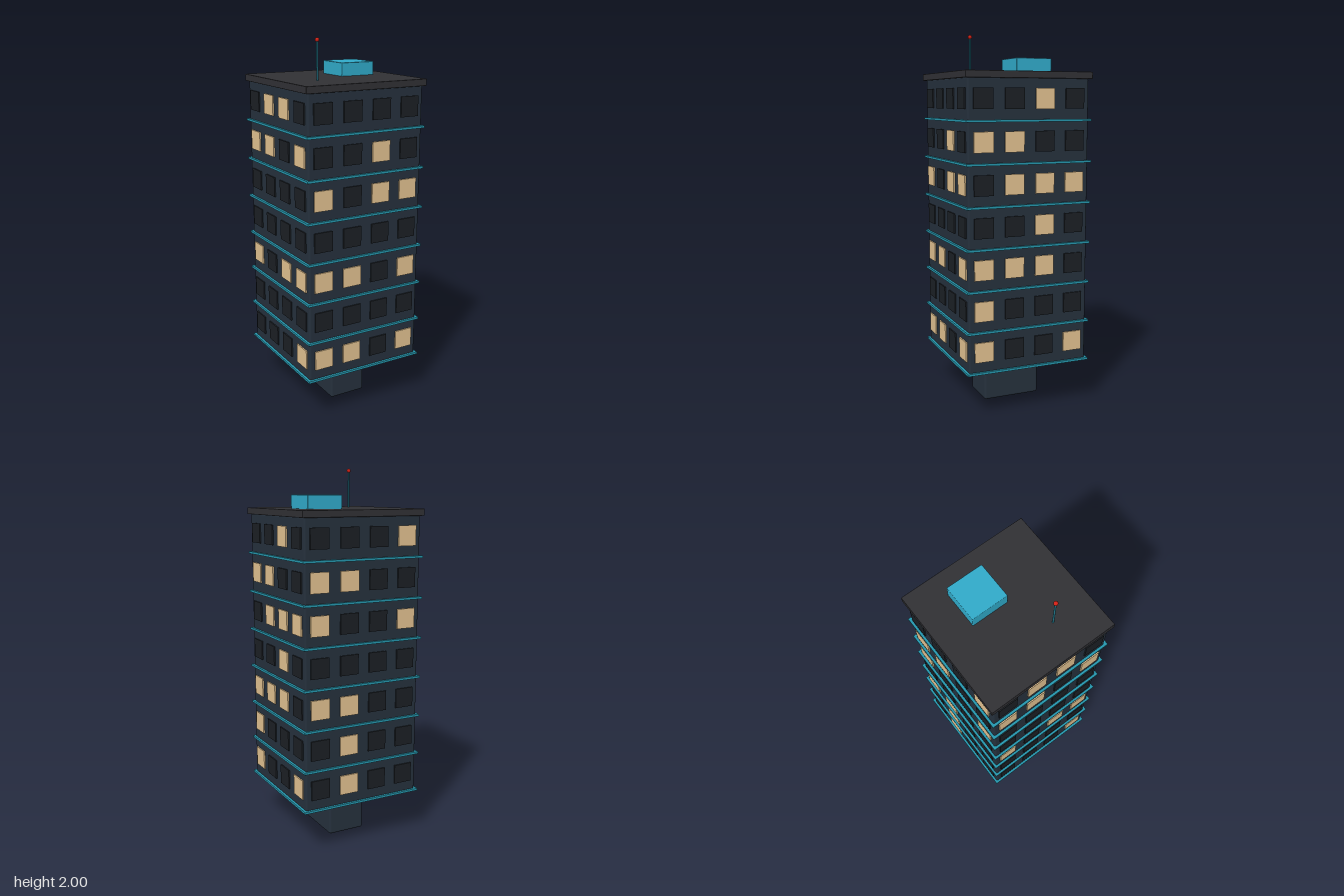
import * as THREE from 'three';
import { RoundedBoxGeometry } from 'three/addons/geometries/RoundedBoxGeometry.js';

const mat = (color) => new THREE.MeshStandardMaterial({ color });

export function createModel() {
  const model = new THREE.Group();
  model.name = 'towerBlock';

  const wall = mat(0x25303c), roofing = mat(0x303034), teal = mat(0x30a9c8);
  const dark = mat(0x1b1f24), lit = mat(0xe0c08f), red = mat(0xd02015);
  const trim = mat(0x2596ad), steel = mat(0x1f7386);

  const add = (name, geometry, material, x, y, z, parent = model) => {
    const mesh = new THREE.Mesh(geometry, material);
    mesh.name = name;
    mesh.position.set(x, y, z);
    parent.add(mesh);
    return mesh;
  };
  const rounded = (w, h, d, r) => new RoundedBoxGeometry(w, h, d, 2, r);

  const bottom = 0.25, floorHeight = 0.2157, floors = 7, half = 0.335;
  const top = bottom + floors * floorHeight;

  // Narrow entrance core under the tower
  add('entranceCore', rounded(0.21, 0.27, 0.32, 0.012), wall, 0, 0.135, 0);
  const pane = new THREE.BoxGeometry(0.105, 0.105, 0.014);
  add('coreWindowFront', pane, dark, 0, 0.237, 0.161);
  add('coreWindowBack', pane, dark, 0, 0.237, -0.161);
  add('coreWindowLight', new THREE.BoxGeometry(0.025, 0.07, 0.016), lit, 0.03, 0.225, -0.161);

  // Tower body
  add('body', rounded(2 * half, top - bottom, 2 * half, 0.01), wall, 0, (top + bottom) / 2, 0);

  // Ledge at the foot of every floor
  const ledge = new THREE.BoxGeometry(0.695, 0.012, 0.695);
  for (let f = 0; f < floors; f++) add('floorLedge', ledge, trim, 0, bottom + f * floorHeight, 0);

  // Windows: one string per floor from the lowest up, 1 = lit, read left to right from outside
  const facades = [
    { name: 'frontWindows', turn: 0, rows: ['1101', '0000', '1101', '0000', '1011', '0010', '0000'] },
    { name: 'rightWindows', turn: 1, rows: ['1001', '1000', '1110', '0010', '0111', '1100', '0010'] },
    { name: 'backWindows', turn: 2, rows: ['0100', '0100', '1100', '0000', '1001', '1100', '0001'] },
    { name: 'leftWindows', turn: 3, rows: ['0001', '0000', '1011', '0000', '0000', '1101', '0110'] },
  ];
  for (const { name, turn, rows } of facades) {
    const side = new THREE.Group();
    side.name = name;
    side.rotation.y = turn * Math.PI / 2;
    rows.forEach((row, f) => [...row].forEach((on, c) => {
      add(on === '1' ? 'litWindow' : 'darkWindow', pane, on === '1' ? lit : dark,
        (c - 1.5) * 0.1687, bottom + 0.111 + f * floorHeight, half, side);
    }));
    model.add(side);
  }

  // Roof slab and rooftop plant room
  add('roofSlab', rounded(0.7, 0.036, 0.7, 0.003), roofing, 0, 1.773, 0);
  add('plantRoom', rounded(0.198, 0.085, 0.198, 0.004), teal, 0.134, 1.8185, -0.07);

  // Mast with warning light
  add('mast', new THREE.CylinderGeometry(0.005, 0.005, 0.2, 12), steel, -0.17, 1.885, 0.133);
  add('warningLight', new THREE.SphereGeometry(0.011, 16, 12), red, -0.17, 1.989, 0.133);

  return model;
}
